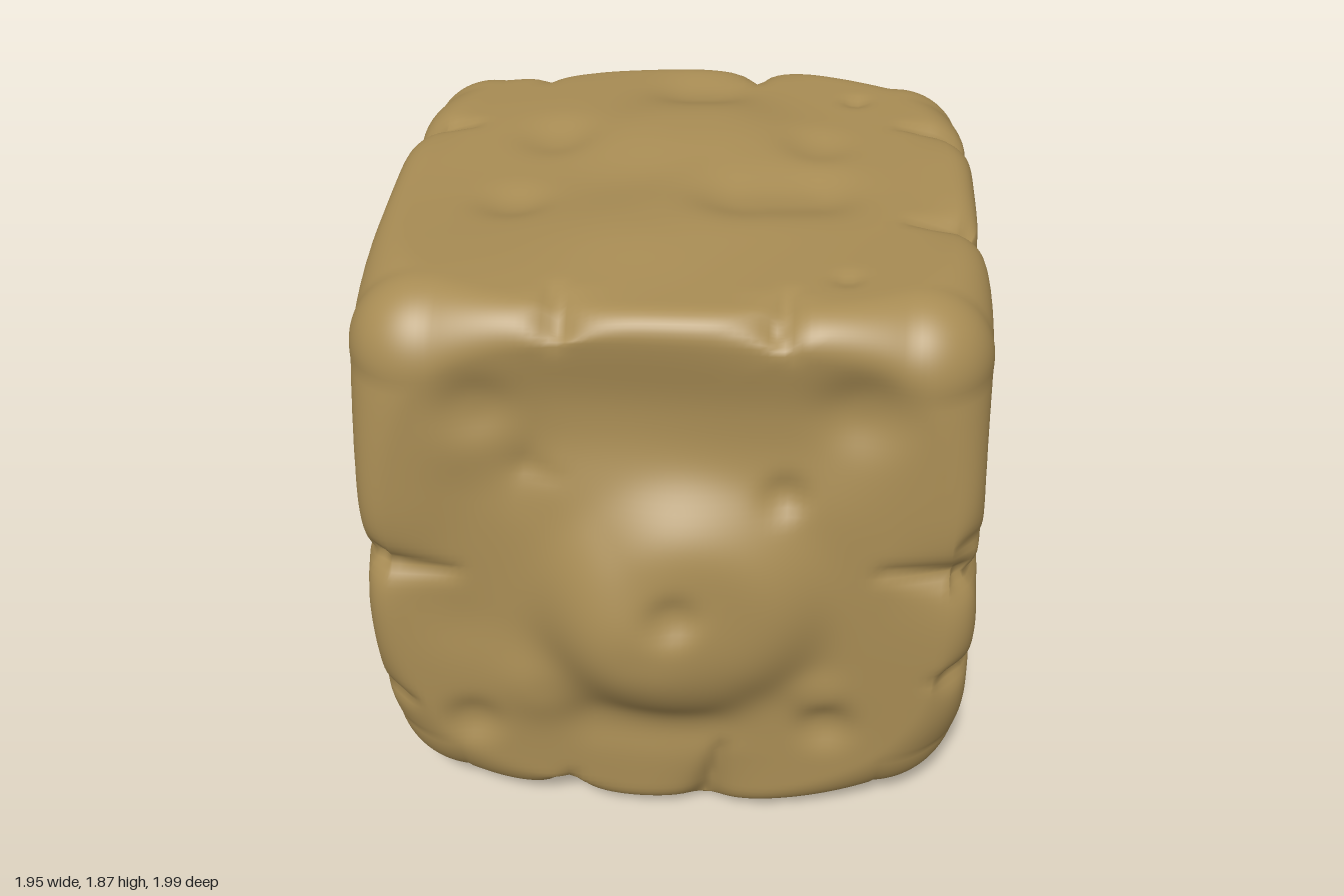
import * as THREE from 'three';
import { mergeVertices } from 'three/addons/utils/BufferGeometryUtils.js';

// Block size and centre; edges are crisp in the middle and worn at the corners
const HALF = [0.9, 0.9, 0.895];
const CENTRE = [0, 0.94, -0.05];
const EDGE_ROUND = 0.09;
const CORNER_WEAR = 0.16;
const SEGMENTS = 80;

// Strokes: u0, v0, u1, v1, width, height (negative carves a dent), optional steepness
// Notches: u0, v0 at the edge, u1, v1 at the tip, depth
const front = {
  strokes: [
    // central boss with a steep rim, a swelling and a crater
    [0.02, 0.85, 0.06, 0.88, 0.36, 0.105, 5], [-0.1, 0.78, -0.04, 0.78, 0.2, 0.05],
    [0.02, 0.92, 0.02, 0.92, 0.07, -0.03], [-0.2, 1.1, -0.1, 1.15, 0.25, 0.02],
    // shallow pits and hollows
    [-0.53, 1.53, -0.53, 1.53, 0.1, -0.03], [0.54, 1.55, 0.54, 1.55, 0.12, -0.035],
    [0.33, 1.27, 0.33, 1.27, 0.06, -0.025], [-0.6, 0.39, -0.6, 0.39, 0.08, -0.03],
    [0.48, 0.42, 0.48, 0.42, 0.08, -0.03], [-0.3, 1.48, 0.4, 1.48, 0.2, -0.035],
    [-0.6, 0.85, -0.5, 1.2, 0.18, -0.025], [-0.2, 0.42, 0.1, 0.4, 0.1, -0.015],
    [-0.38, 0.55, -0.38, 0.55, 0.13, 0.025], [0.45, 0.56, 0.45, 0.56, 0.08, 0.015],
  ],
  notches: [
    [-0.92, 0.99, -0.63, 0.96, 0.08], [0.92, 1.0, 0.62, 1.03, 0.08],
    [-0.92, 0.45, -0.82, 0.45, 0.05], [0.92, 0.63, 0.8, 0.63, 0.07],
    [-0.32, 0.03, -0.31, 0.16, 0.08], [0.11, 0.03, 0.16, 0.31, 0.08],
    [-0.32, 1.86, -0.3, 1.74, 0.05], [0.26, 1.86, 0.34, 1.74, 0.05],
    [-0.4, 1.33, -0.31, 1.3, 0.02],
  ],
};
const back = {
  strokes: [
    [0.0, 1.02, -0.08, 1.0, 0.28, 0.065], [-0.35, 0.5, -0.35, 0.5, 0.2, 0.025],
    [0.5, 0.95, 0.5, 0.95, 0.13, -0.03], [-0.2, 1.5, 0.3, 1.48, 0.19, -0.04],
    [-0.12, 0.6, 0.05, 0.6, 0.14, -0.035], [0.5, 1.4, 0.45, 1.25, 0.12, -0.025],
    [-0.55, 0.9, -0.5, 1.2, 0.16, -0.03], [0.4, 0.4, 0.4, 0.4, 0.16, 0.02],
  ],
  notches: [
    [-0.92, 1.42, -0.74, 1.42, 0.08], [-0.92, 1.08, -0.72, 1.08, 0.08],
    [-0.92, 0.8, -0.74, 0.8, 0.06], [0.92, 1.2, 0.76, 1.22, 0.07],
    [0.92, 0.73, 0.76, 0.73, 0.07], [-0.5, 1.86, -0.5, 1.72, 0.06],
    [0.2, 1.86, 0.2, 1.62, 0.07], [0.1, 0.03, 0.1, 0.22, 0.07],
  ],
};
// Sides use z, y
const right = {
  strokes: [
    [0.12, 0.98, -0.05, 1.1, 0.34, 0.07], [0.4, 0.45, 0.25, 0.4, 0.2, 0.025],
    [-0.32, 1.47, -0.55, 1.5, 0.15, -0.045], [0.35, 1.35, 0.3, 1.25, 0.15, -0.025],
    [0.3, 0.67, -0.05, 0.67, 0.12, -0.025], [-0.4, 0.78, -0.1, 0.38, 0.17, -0.045],
    [-0.48, 0.41, -0.48, 0.41, 0.09, -0.025], [-0.67, 1.05, -0.68, 1.05, 0.04, -0.02],
  ],
  notches: [
    [0.85, 0.98, 0.66, 0.98, 0.08], [0.85, 0.61, 0.68, 0.63, 0.07],
    [0.85, 1.11, 0.75, 1.11, 0.06], [-0.95, 1.21, -0.78, 1.21, 0.08],
    [-0.95, 0.73, -0.78, 0.75, 0.07], [0.2, 1.86, 0.19, 1.6, 0.05],
    [-0.43, 1.86, -0.46, 1.72, 0.05], [0.06, 0.03, 0.06, 0.29, 0.08],
  ],
};
const left = {
  strokes: [
    [0.1, 0.9, -0.12, 1.1, 0.38, 0.078], [-0.3, 0.5, -0.2, 0.6, 0.22, 0.025],
    [0.15, 1.5, 0.4, 1.5, 0.14, -0.035], [-0.4, 1.35, -0.4, 1.35, 0.13, -0.025],
    [0.45, 0.9, 0.15, 0.42, 0.13, -0.045], [-0.5, 0.8, -0.38, 1.05, 0.12, -0.03],
    [-0.55, 0.45, -0.55, 0.45, 0.1, -0.025],
  ],
  notches: [
    [0.85, 0.98, 0.7, 0.98, 0.08], [0.85, 0.45, 0.74, 0.45, 0.06],
    [-0.95, 1.25, -0.78, 1.25, 0.07], [-0.95, 0.75, -0.78, 0.75, 0.07],
    [-0.4, 1.86, -0.4, 1.65, 0.07], [0.2, 0.03, 0.2, 0.22, 0.07],
  ],
};
// Top and bottom use x, z
const top = {
  strokes: [
    [-0.05, -0.32, 0.08, -0.34, 0.25, 0.045], [-0.1, 0.3, 0.1, 0.15, 0.24, 0.02],
    [0, -0.68, 0.05, -0.68, 0.13, -0.03], [-0.42, -0.32, -0.42, -0.32, 0.11, -0.025],
    [-0.5, 0.13, -0.5, 0.13, 0.1, -0.025], [0.18, 0.1, 0.38, 0.04, 0.14, -0.04],
    [0.53, -0.65, 0.53, -0.65, 0.04, -0.02], [0.48, 0.58, 0.48, 0.58, 0.04, -0.015],
    [0.4, -0.28, 0.4, -0.28, 0.1, -0.02],
  ],
  notches: [
    [-0.92, -0.4, -0.7, -0.39, 0.08], [0.92, -0.44, 0.68, -0.46, 0.08],
    [0.92, 0.18, 0.68, 0.2, 0.08], [-0.28, 0.85, -0.31, 0.68, 0.07],
    [0.3, 0.85, 0.32, 0.68, 0.07], [-0.5, -0.95, -0.5, -0.78, 0.06],
    [0.2, -0.95, 0.21, -0.78, 0.08],
  ],
};
const bottom = {
  strokes: [
    [0.05, 0.0, -0.05, 0.05, 0.26, 0.03], [0.3, -0.35, 0.3, -0.35, 0.12, -0.03],
    [-0.1, -0.5, -0.1, -0.5, 0.12, -0.025], [0.45, 0.25, 0.45, 0.25, 0.11, -0.025],
    [-0.45, 0.1, -0.45, 0.1, 0.12, -0.025], [-0.3, 0.5, 0.1, 0.45, 0.1, -0.02],
  ],
  notches: [
    [0.92, 0.06, 0.74, 0.06, 0.07], [-0.92, 0.2, -0.74, 0.2, 0.07],
    [-0.32, 0.85, -0.32, 0.7, 0.07], [0.13, -0.95, 0.13, -0.78, 0.07],
  ],
};

// axis and sign of each face, its two in-plane axes and its carving
const FACES = [
  { axis: 2, sign: 1, u: 0, v: 1, ...front },
  { axis: 2, sign: -1, u: 0, v: 1, ...back },
  { axis: 0, sign: 1, u: 2, v: 1, ...right },
  { axis: 0, sign: -1, u: 2, v: 1, ...left },
  { axis: 1, sign: 1, u: 0, v: 2, ...top },
  { axis: 1, sign: -1, u: 0, v: 2, ...bottom },
];

// Distance from a point to a segment, and how far along it lies
function toSegment(u0, v0, u1, v1, u, v) {
  const du = u1 - u0, dv = v1 - v0;
  const len = du * du + dv * dv;
  const t = len ? THREE.MathUtils.clamp(((u - u0) * du + (v - v0) * dv) / len, 0, 1) : 0;
  return [Math.hypot(u - u0 - du * t, v - v0 - dv * t), t];
}

// Soft bump or dent
function strokeHeight([u0, v0, u1, v1, width, height, steepness = 2.5], u, v) {
  const [d] = toSegment(u0, v0, u1, v1, u, v);
  return height * Math.exp(-Math.pow(d / width, steepness));
}

// Crack that tapers to its tip, inside a wide worn hollow
function notchHeight([u0, v0, u1, v1, depth], u, v) {
  const [d, t] = toSegment(u0, v0, u1, v1, u, v);
  const crack = Math.exp(-Math.pow(d / (0.05 - 0.025 * t), 1.5)) * (1 - 0.7 * t);
  const hollow = Math.exp(-Math.pow(d / 0.12, 2)) * (1 - t);
  return -depth * (0.75 * crack + 0.35 * hollow);
}

// Gentle unevenness over the whole stone
function ripple([x, y, z]) {
  return 0.005 * (Math.sin(5.1 * x + 3.3 * y + 1) + Math.sin(4.7 * y - 5.3 * z + 2)
    + Math.sin(6.1 * z + 4.1 * x)) - 0.007;
}

function stoneGeometry() {
  const box = new THREE.BoxGeometry(...HALF.map((h) => h * 2), SEGMENTS, SEGMENTS, SEGMENTS);
  box.deleteAttribute('normal');
  box.deleteAttribute('uv');
  const geometry = mergeVertices(box, 1e-5);
  const position = geometry.attributes.position;
  for (let i = 0; i < position.count; i++) {
    // rounded block, rounder towards its corners and most of all at the foot
    const raw = [position.getX(i), position.getY(i), position.getZ(i)];
    const cornerness = Math.min(1, ...raw.map((c, k) => Math.abs(c) / HALF[k] / 0.72));
    const wear = CORNER_WEAR - 0.03 * THREE.MathUtils.clamp(raw[1] / 0.6, -1, 1);
    const round = EDGE_ROUND + wear * cornerness ** 3;
    const inner = raw.map((c, k) => THREE.MathUtils.clamp(c, round - HALF[k], HALF[k] - round));
    const out = raw.map((c, k) => c - inner[k]);
    const size = Math.hypot(...out);
    const normal = out.map((c) => c / size);
    const base = inner.map((c, k) => c + normal[k] * round + CENTRE[k]);
    // bumps, pits and notches
    const bump = ripple(base);
    const point = base.map((c, k) => c + normal[k] * bump);
    for (const { axis, sign, u, v, strokes, notches } of FACES) {
      const facing = normal[axis] * sign;
      if (facing <= 0) continue;
      let height = 0;
      for (const s of strokes) height += strokeHeight(s, base[u], base[v]);
      for (const n of notches) height += notchHeight(n, base[u], base[v]);
      point[axis] += sign * facing * height;
    }
    position.setXYZ(i, ...point);
  }
  // stand on the ground, centred
  geometry.computeBoundingBox();
  const { min, max } = geometry.boundingBox;
  geometry.translate(-(min.x + max.x) / 2, -min.y, -(min.z + max.z) / 2);
  geometry.computeVertexNormals();
  return geometry;
}

export function createModel() {
  const group = new THREE.Group();
  group.name = 'stoneBlock';
  const material = new THREE.MeshStandardMaterial({ color: 0xa88c54 });
  material.name = 'sandstone';
  const stone = new THREE.Mesh(stoneGeometry(), material);
  stone.name = 'stone';
  group.add(stone);
  return group;
}
